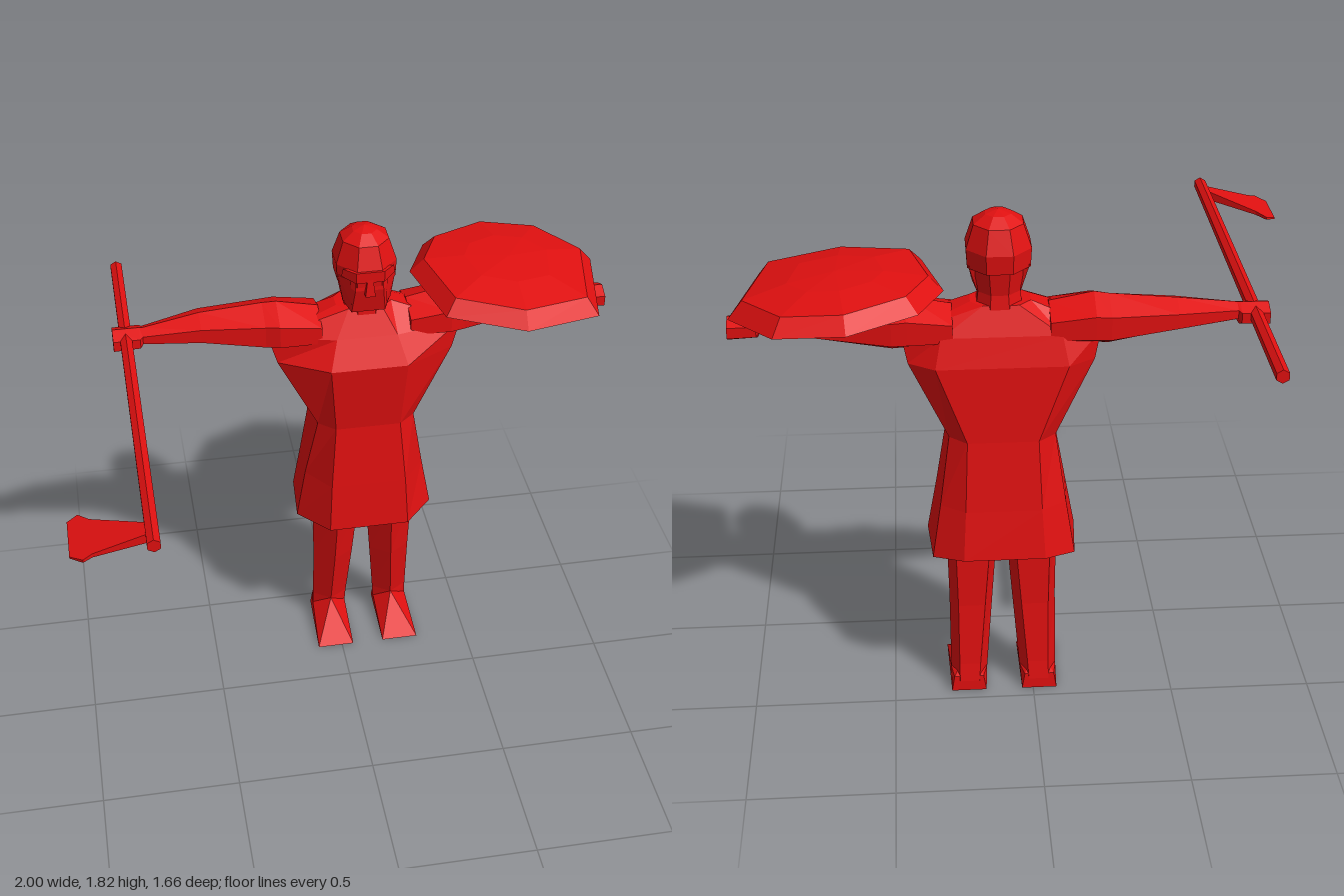
import * as THREE from 'three';
import { ConvexGeometry } from 'three/addons/geometries/ConvexGeometry.js';

const red = new THREE.MeshStandardMaterial({ color: 0xe01010, flatShading: true, side: THREE.DoubleSide });
red.name = 'red';

const CX = 0.105; // the figure's middle line

// Skin a list of equal-length rings of [x, y, z]; optionally close the first and last ring
function loft(rings, capStart, capEnd) {
  const n = rings[0].length, pos = rings.flat(2), idx = [];
  for (let r = 0; r < rings.length - 1; r++)
    for (let i = 0; i < n; i++) {
      const a = r * n + i, b = r * n + (i + 1) % n;
      idx.push(a, b, b + n, a, b + n, a + n);
    }
  const last = (rings.length - 1) * n;
  for (let i = 1; i < n - 1; i++) {
    if (capStart) idx.push(0, i + 1, i);
    if (capEnd) idx.push(last, last + i, last + i + 1);
  }
  const g = new THREE.BufferGeometry();
  g.setAttribute('position', new THREE.Float32BufferAttribute(pos, 3));
  g.setIndex(idx);
  const flat = g.toNonIndexed();
  flat.computeVertexNormals();
  return flat;
}

const hull = pts => new ConvexGeometry(pts.map(p => new THREE.Vector3(...p)));

export function createModel() {
  const group = new THREE.Group();
  const add = (name, geo) => {
    const m = new THREE.Mesh(geo, red);
    m.name = name;
    group.add(m);
    return m;
  };

  // Tunic: eight-sided rings [y, front half width, front z, side half width, side z, rear side half width, rear side z, back half width, back z]
  const tunic = [
    [0.605, 0.15, -0.162, 0.26, -0.285, 0.245, -0.49, 0.14, -0.553],
    [0.80, 0.14, -0.175, 0.225, -0.29, 0.215, -0.47, 0.13, -0.525],
    [1.05, 0.12, -0.197, 0.18, -0.25, 0.18, -0.44, 0.12, -0.493],
    [1.32, 0.14, -0.17, 0.32, -0.27, 0.31, -0.42, 0.22, -0.478],
    [1.42, 0.11, -0.225, 0.35, -0.28, 0.33, -0.41, 0.20, -0.45],
    [1.515, 0.06, -0.275, 0.10, -0.31, 0.10, -0.37, 0.06, -0.41],
  ].map(([y, fw, fz, sw, sz, rw, rz, bw, bz]) => {
    const half = [[fw, fz], [sw, sz], [rw, rz], [bw, bz]];
    return [...half.map(([w, z]) => [CX + w, y, z]),
      ...half.reverse().map(([w, z]) => [CX - w, y, z])];
  });
  // the back of the hem rises slightly
  tunic[0].forEach(p => { if (p[2] < -0.5) p[1] = 0.622; });
  add('tunic', loft(tunic, false, true));

  // Arms with fists: six-sided rings [distance from middle, bottom y, top y, front z, back z]
  const armRings = [
    [0.16, 1.36, 1.50, -0.24, -0.45],
    [0.31, 1.345, 1.53, -0.24, -0.455],
    [0.36, 1.345, 1.525, -0.255, -0.455],
    [0.585, 1.39, 1.505, -0.285, -0.435],
    [0.79, 1.41, 1.475, -0.305, -0.38],
    [0.80, 1.395, 1.475, -0.295, -0.395],
    [0.895, 1.39, 1.475, -0.295, -0.395],
  ];
  for (const [side, s] of [['left', 1], ['right', -1]]) {
    const rings = armRings.map(([d, y0, y1, zf, zb]) => {
      const x = CX + s * d, zm = (zf + zb) / 2, h = y1 - y0;
      const ring = [[x, y0, zm], [x, y0 + h * 0.3, zb], [x, y0 + h * 0.75, zb],
        [x, y1, zm], [x, y0 + h * 0.75, zf], [x, y0 + h * 0.3, zf]];
      return s > 0 ? ring : ring.reverse();
    });
    add(side + 'Arm', loft(rings, true, true));

    // Leg: six-sided rings [y, inner, outer, front z, back z] leaning back to the ankle
    const legRings = [
      [0.04, 0.06, 0.19, -0.335, -0.455],
      [0.11, 0.055, 0.19, -0.335, -0.445],
      [0.35, 0.035, 0.19, -0.29, -0.425],
      [0.60, 0.015, 0.195, -0.25, -0.42],
      [0.75, 0.01, 0.17, -0.25, -0.42],
    ].map(([y, a, b, zf, zb]) => {
      const m = (a + b) / 2, q = zf + (zb - zf) * 0.4;
      const ring = [[m, zf], [b, q], [b - 0.03, zb], [a + 0.03, zb], [a, q]]
        .map(([d, z]) => [CX + s * d, y, z]);
      return s > 0 ? ring : ring.reverse();
    });
    add(side + 'Leg', loft(legRings, true, true));

    // Foot: a wedge rising from a wide toe to the ankle
    add(side + 'Foot', hull([
      [0.06, 0, -0.17], [0.20, 0, -0.17], [0.065, 0, -0.455], [0.19, 0, -0.455],
      [0.123, 0.11, -0.335], [0.06, 0.06, -0.39], [0.19, 0.06, -0.39],
      [0.075, 0.06, -0.452], [0.18, 0.06, -0.452],
    ].map(([d, y, z]) => [CX + s * d, y, z])));
  }

  // Helmet and neck: eight-sided turned forms, deeper than wide
  const turned = (name, profile, z, sz) => {
    const g = new THREE.LatheGeometry(profile.map(p => new THREE.Vector2(...p)), 8, Math.PI / 8);
    g.scale(1, 1, sz);
    g.translate(CX + 0.004, 0, z);
    return add(name, g);
  };
  turned('helmet', [[0, 1.635], [0.112, 1.635], [0.116, 1.70], [0.088, 1.78], [0.045, 1.808], [0, 1.82]], -0.325, 1.08);
  turned('neck', [[0.085, 1.48], [0.075, 1.55], [0.09, 1.64]], -0.34, 1);

  // Face: jaw hull, with brow and nose
  const mirrored = pts => hull(pts.flatMap(([x, y, z]) => [[CX + 0.004 + x, y, z], [CX + 0.004 - x, y, z]]));
  add('face', mirrored([[0.06, 1.525, -0.235], [0.085, 1.55, -0.28], [0.07, 1.54, -0.36],
    [0.05, 1.62, -0.215], [0.10, 1.645, -0.27], [0.10, 1.645, -0.38], [0.05, 1.68, -0.22]]));
  add('brow', mirrored([[0.05, 1.66, -0.20], [0.095, 1.67, -0.245], [0.05, 1.70, -0.20],
    [0.09, 1.70, -0.24], [0.05, 1.67, -0.25]]));
  add('nose', mirrored([[0.01, 1.67, -0.20], [0.018, 1.605, -0.195], [0.018, 1.605, -0.23], [0.01, 1.67, -0.23]]));
  for (const s of [1, -1])
    add('cheekGuard', hull([[0.065, 1.66, -0.225], [0.102, 1.66, -0.27], [0.102, 1.66, -0.33],
      [0.06, 1.56, -0.225], [0.085, 1.555, -0.27], [0.09, 1.58, -0.32]]
      .map(([x, y, z]) => [CX + 0.004 + s * x, y, z])));

  // Shield: a tilted shallow eight-sided dish, hollow underneath
  const rim = [[0.60, -0.695], [0.83, -0.655], [0.985, -0.46], [0.91, -0.085],
    [0.63, 0], [0.36, -0.10], [0.29, -0.40], [0.375, -0.58]];
  const shieldRing = (k, h) => rim.map(([x, z]) => {
    const px = 0.64 + (x - 0.64) * k, pz = -0.35 + (z + 0.35) * k;
    return [px, 1.54 - 0.08 * (px - 0.64) - 0.035 * (pz + 0.35) + h, pz];
  }).reverse();
  add('shield', loft([shieldRing(1, 0), shieldRing(0.86, 0.055), shieldRing(0.45, 0.08), shieldRing(0.02, 0.088)], false, true));
  add('shieldLining', loft([shieldRing(0.02, 0.05), shieldRing(0.5, 0.042), shieldRing(1, 0)], true, false));

  // Axe shaft, held level and pointing forward
  const shaft = new THREE.CylinderGeometry(0.024, 0.024, 1.665, 6);
  shaft.rotateX(Math.PI / 2);
  shaft.translate(-0.744, 1.443, 0);
  add('axeShaft', shaft);

  // Axe blade: an outline that thins and droops towards the cutting edge
  const outline = new THREE.Shape([[-0.74, -0.735], [-0.93, -0.62], [-0.965, -0.58], [-1, -0.60],
    [-1, -0.77], [-0.96, -0.805], [-0.93, -0.79], [-0.74, -0.78]].map(p => new THREE.Vector2(...p)));
  const blade = new THREE.ExtrudeGeometry(outline, { depth: 1, bevelEnabled: false });
  blade.rotateX(-Math.PI / 2);
  const p = blade.attributes.position;
  for (let i = 0; i < p.count; i++) {
    const t = (p.getX(i) + 1) / 0.26;
    p.setY(i, 1.383 + 0.055 * t + (p.getY(i) - 0.5) * (0.006 + 0.03 * t));
  }
  blade.computeVertexNormals();
  add('axeBlade', blade);

  return group;
}
